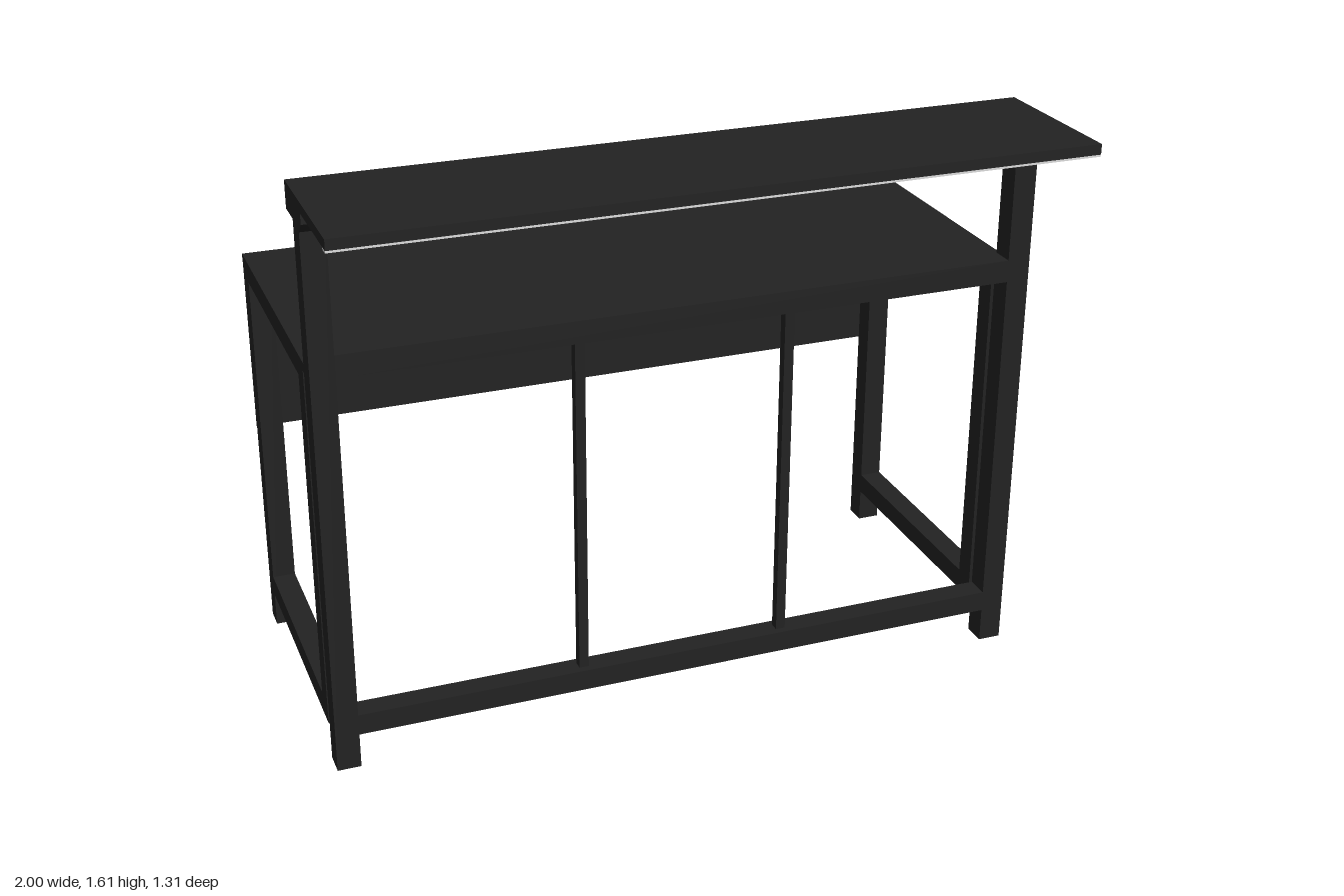
import * as THREE from 'three';

export function createModel() {
  const model = new THREE.Group();
  model.name = 'workbench';

  const black = new THREE.MeshStandardMaterial({ color: 0x222222 });
  black.name = 'matt black';
  const pale = new THREE.MeshStandardMaterial({ color: 0xdddddd });
  pale.name = 'pale light strip';

  // Box given by its limits on each axis
  function box(name, [x0, x1], [y0, y1], [z0, z1], material = black) {
    const mesh = new THREE.Mesh(new THREE.BoxGeometry(x1 - x0, y1 - y0, z1 - z0), material);
    mesh.position.set((x0 + x1) / 2, (y0 + y1) / 2, (z0 + z1) / 2);
    mesh.name = name;
    model.add(mesh);
  }

  const postZ = [0.288, 0.355];
  const inner = [-0.935, 0.935];

  // Uprights and side frames, mirrored
  for (const side of [-1, 1]) {
    const x = side < 0 ? [-1, -0.935] : [0.935, 1];
    box('frontPost', x, [0, 1.56], postZ);
    box('rearLeg', x, [0, 1.135], [-0.525, -0.46]);
    box('sideUpright', x, [0.1, 1.135], [0.21, 0.272]);
    box('sideLowerRail', x, [0.1, 0.16], [-0.46, 0.21]);
    box('sideUpperRail', x, [1.1, 1.135], [-0.46, 0.21]);
  }

  // Front frame with two slim dividers
  box('frontLowerRail', inner, [0.1, 0.16], postZ);
  box('frontUpperRail', inner, [1.137, 1.2], postZ);
  for (const x of [-0.295, 0.295]) {
    box('divider', [x - 0.0135, x + 0.0135], [0.16, 1.137], [0.307, 0.335]);
  }

  // Worktop, back panel and rear tray
  box('worktop', [-1, 1], [1.135, 1.16], [-0.535, 0.288]);
  box('backPanel', [-1, 1], [0.627, 1.135], [-0.532, -0.525]);
  box('rearTray', [-0.975, 0.975], [0.627, 0.843], [-0.653, -0.532]);

  // Overhead shelf with a strip under its front edge
  box('shelf', [-1, 1], [1.586, 1.614], [0.21, 0.655]);
  box('lightStrip', [-1, 1], [1.58, 1.586], [0.627, 0.654], pale);

  // Shelf support beam: bevelled section swept along x
  const section = new THREE.Shape([
    [-0.21, 1.54], [-0.21, 1.586], [-0.386, 1.586], [-0.386, 1.557], [-0.355, 1.528], [-0.345, 1.54],
  ].map(([x, y]) => new THREE.Vector2(x, y)));
  const beam = new THREE.Mesh(
    new THREE.ExtrudeGeometry(section, { depth: 2, bevelEnabled: false }), black);
  beam.rotation.y = Math.PI / 2;
  beam.position.x = -1;
  beam.name = 'shelfBeam';
  model.add(beam);

  return model;
}
